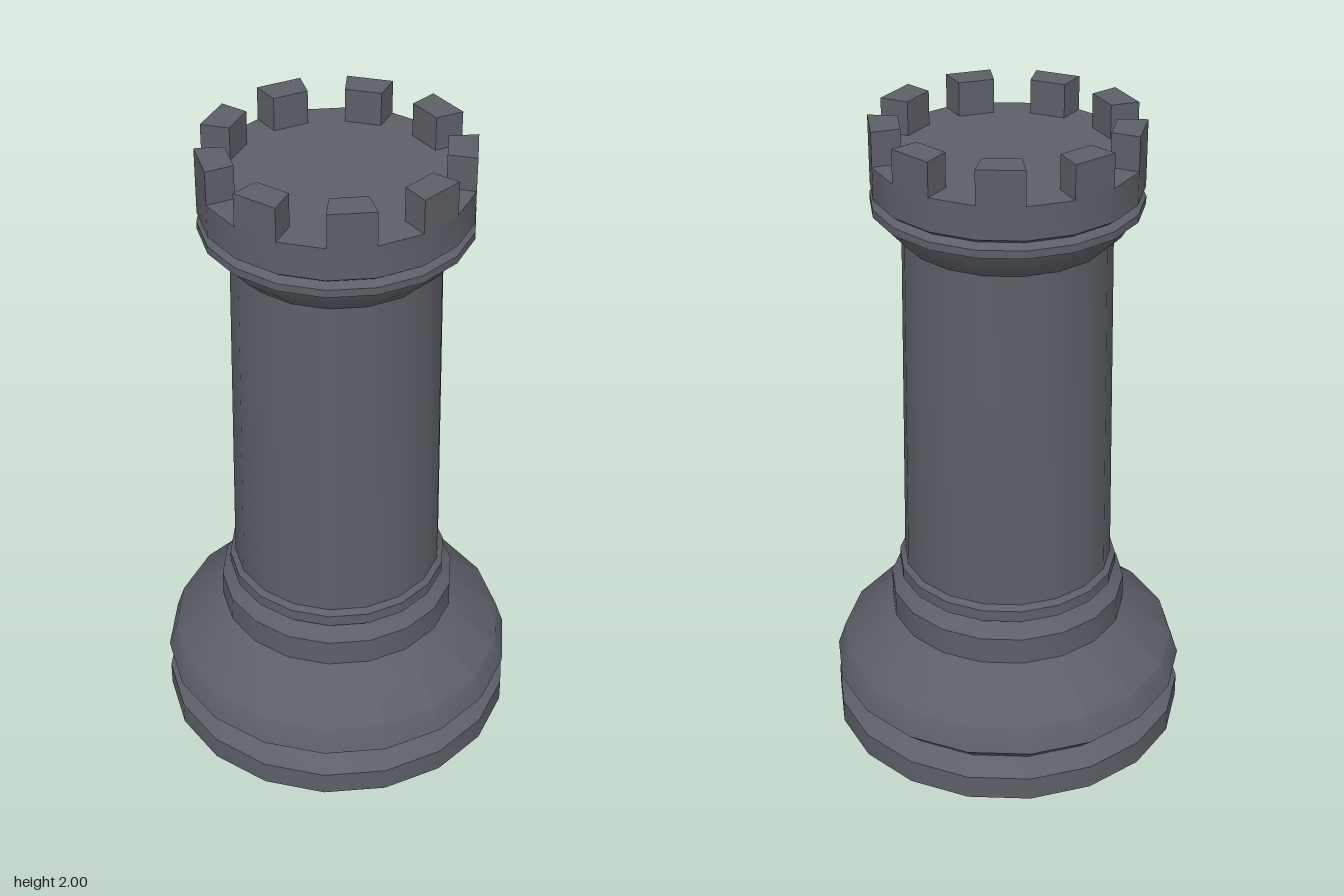
import * as THREE from 'three';
import { toCreasedNormals } from 'three/addons/utils/BufferGeometryUtils.js';

const SIDES = 18;
const MERLONS = SIDES / 2;
const DECK_Y = 1.9;
const TOP_Y = 2;
const RIM = 0.385;

export function createModel() {
  const group = new THREE.Group();
  const material = new THREE.MeshStandardMaterial({ color: 0x5c5f67 });

  // Turned parts: each profile is a list of [radius, height], bottom to top
  const turn = (name, profile) => {
    const points = profile.map(([r, y]) => new THREE.Vector2(r, y));
    const lathe = new THREE.LatheGeometry(points, SIDES);
    const mesh = new THREE.Mesh(toCreasedNormals(lathe, THREE.MathUtils.degToRad(35)), material);
    mesh.name = name;
    group.add(mesh);
  };

  turn('base', [
    [0, 0], [0.44, 0], [0.54, 0.045], [0.54, 0.12], [0.483, 0.16],
    [0.54, 0.215], [0.515, 0.29], [0.36, 0.415], [0.36, 0.5], [0.315, 0.54],
  ]);
  turn('collar', [[0.315, 0.54], [0.333, 0.547], [0.333, 0.583], [0.317, 0.597]]);
  turn('shaft', [[0.317, 0.597], [0.3, 1.66]]);
  turn('head', [
    [0.3, 1.66], [0.34, 1.7], [0.366, 1.745], [0.387, 1.752], [0.387, 1.775],
    [0.367, 1.79], [RIM, 1.803], [RIM, DECK_Y], [0, DECK_Y],
  ]);

  // Battlements: a wedge on every second side of the rim
  const inner = 0.302;
  const half = Math.PI / SIDES;
  const corner = (r, a) => new THREE.Vector2(r * Math.cos(a), r * Math.sin(a));
  const wedge = new THREE.Shape([
    corner(inner, -half), corner(RIM, -half), corner(RIM, half), corner(inner, half),
  ]);
  const merlonGeometry = new THREE.ExtrudeGeometry(wedge, {
    depth: TOP_Y - DECK_Y, bevelEnabled: false,
  });
  merlonGeometry.rotateX(-Math.PI / 2);

  const battlements = new THREE.Group();
  battlements.name = 'battlements';
  for (let i = 0; i < MERLONS; i++) {
    const merlon = new THREE.Mesh(merlonGeometry, material);
    merlon.name = 'merlon';
    merlon.position.y = DECK_Y;
    merlon.rotation.y = (i * 2 * Math.PI) / MERLONS;
    battlements.add(merlon);
  }
  group.add(battlements);

  return group;
}
